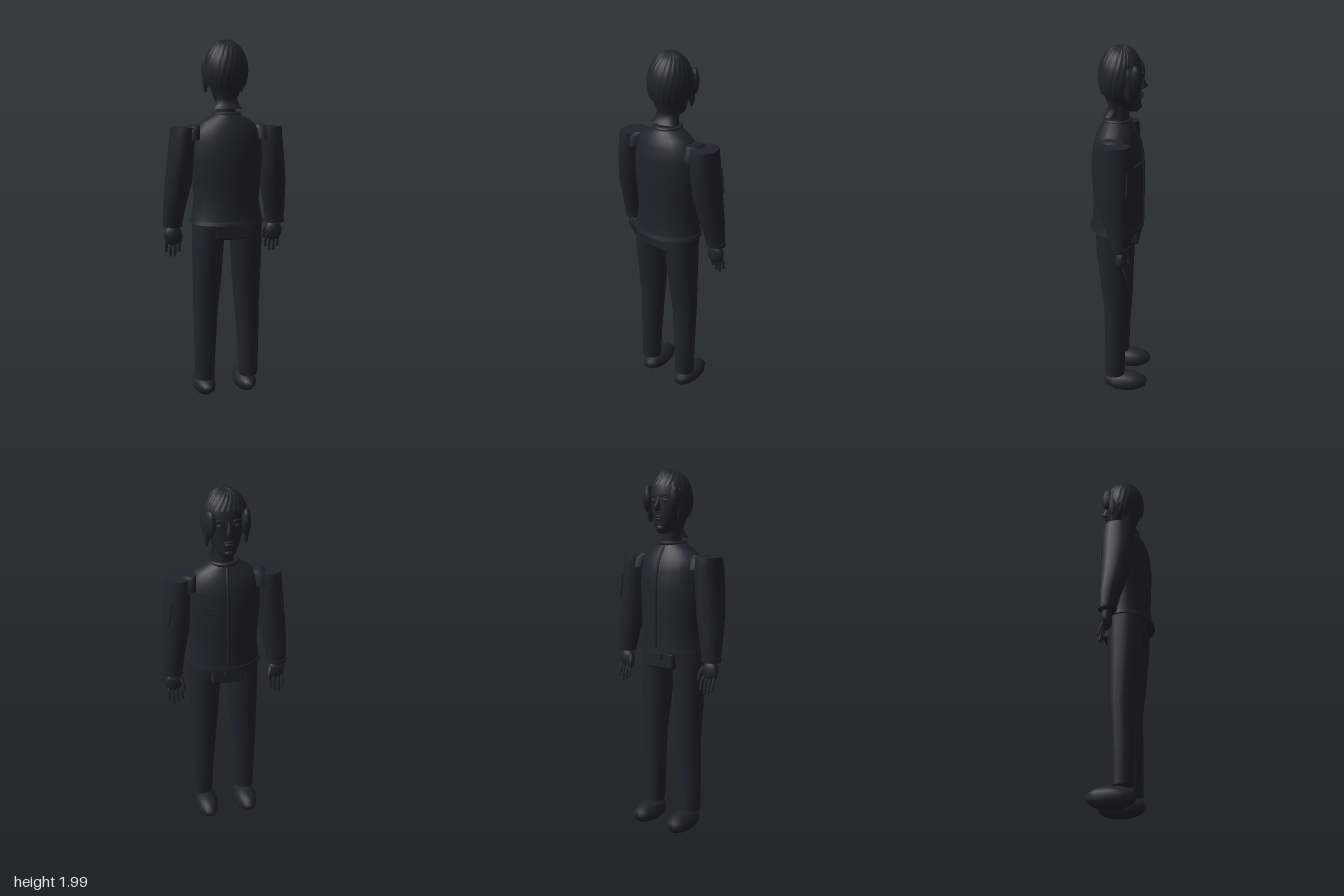
import * as THREE from 'three';
import { RoundedBoxGeometry } from 'three/addons/geometries/RoundedBoxGeometry.js';

const cloth = new THREE.MeshStandardMaterial({ color: 0x21212c, side: THREE.DoubleSide });
cloth.name = 'dark navy';

// closed body through elliptical sections [y, centreX, centreZ, radiusX, radiusZ], bottom to top
function loft(sections, sides = 16) {
  const pos = [], idx = [];
  const ring = ([y, cx, cz, rx, rz]) => {
    for (let j = 0; j < sides; j++) {
      const a = (j / sides) * Math.PI * 2;
      pos.push(cx + rx * Math.sin(a), y, cz + rz * Math.cos(a));
    }
  };
  sections.forEach(ring);
  for (let i = 0; i < sections.length - 1; i++) {
    for (let j = 0; j < sides; j++) {
      const k = (j + 1) % sides;
      const a = i * sides + j, b = i * sides + k, c = b + sides, d = a + sides;
      idx.push(a, b, c, a, c, d);
    }
  }
  // end caps with their own vertices
  for (const top of [false, true]) {
    const s = top ? sections[sections.length - 1] : sections[0];
    const start = pos.length / 3;
    ring(s);
    pos.push(s[1], s[0], s[2]);
    for (let j = 0; j < sides; j++) {
      const a = start + j, b = start + (j + 1) % sides, c = start + sides;
      if (top) idx.push(c, a, b); else idx.push(c, b, a);
    }
  }
  const g = new THREE.BufferGeometry();
  g.setAttribute('position', new THREE.Float32BufferAttribute(pos, 3));
  g.setIndex(idx);
  g.computeVertexNormals();
  return g;
}

// swirled, grooved hair cap, cut high over the face (-z)
function hairGeometry() {
  const g = new THREE.SphereGeometry(1, 120, 18);
  const p = g.attributes.position, uv = g.attributes.uv;
  for (let i = 0; i < p.count; i++) {
    const v = 1 - uv.getY(i), az = uv.getX(i) * Math.PI * 2;
    const face = Math.max(0, Math.min(1, (Math.cos(az) - 0.3) / 0.4));
    const t = v * THREE.MathUtils.lerp(2.2, 1.15, face);
    const groove = Math.abs(Math.sin(12 * (az + 0.7 * v)));
    const r = 1 - 0.05 * Math.pow(1 - groove, 3) * Math.min(1, v * 4);
    p.setXYZ(i, -0.121 * r * Math.sin(t) * Math.sin(az), 1.84 + 0.16 * Math.cos(t) * r,
      -0.118 * r * Math.sin(t) * Math.cos(az));
  }
  g.computeVertexNormals();
  return g;
}

export function createModel() {
  const root = new THREE.Group();
  root.name = 'standingFigure';

  function add(name, geometry, x = 0, y = 0, z = 0, parent = root) {
    const m = new THREE.Mesh(geometry, cloth);
    m.name = name;
    m.position.set(x, y, z);
    parent.add(m);
    return m;
  }
  function ball(name, x, y, z, rx, ry, rz, w = 12, h = 8, parent = root) {
    const g = new THREE.SphereGeometry(1, w, h);
    g.scale(rx, ry, rz);
    return add(name, g, x, y, z, parent);
  }
  function tube(name, points, r, parent = root) {
    const curve = new THREE.CatmullRomCurve3(points.map(q => new THREE.Vector3(...q)));
    return add(name, new THREE.TubeGeometry(curve, 10, r, 6), 0, 0, 0, parent);
  }

  // jacket with flared hem and sloping shoulders
  add('jacket', loft([
    [1.03, 0, 0.02, 0.207, 0.148], [1.05, 0, 0.016, 0.198, 0.14], [1.15, 0, 0.013, 0.182, 0.134],
    [1.25, 0, 0.014, 0.189, 0.136], [1.37, 0, 0.018, 0.198, 0.138], [1.47, 0, 0.018, 0.195, 0.13],
    [1.53, 0, 0.02, 0.18, 0.113], [1.57, 0, 0.022, 0.145, 0.095], [1.605, 0, 0.02, 0.085, 0.075],
    [1.62, 0, 0.018, 0.07, 0.066]], 20));
  add('hemBand', loft([[1.026, 0, 0.02, 0.209, 0.15], [1.046, 0, 0.017, 0.205, 0.146]], 20));
  tube('frontPlacket', [[0.006, 1.06, -0.126], [0.006, 1.15, -0.124], [0.006, 1.25, -0.125],
    [0.006, 1.38, -0.123], [0.006, 1.48, -0.113], [0.004, 1.54, -0.09], [0, 1.6, -0.058]], 0.007);
  const welt = add('chestPocketWelt', new THREE.BoxGeometry(0.07, 0.012, 0.008), 0.1, 1.4, -0.103);
  welt.rotation.y = -0.33;
  const collar = add('collar', new THREE.TorusGeometry(0.066, 0.012, 8, 24), 0, 1.612, 0.016);
  collar.rotation.x = Math.PI / 2;

  // hips, seat and belt buckle
  add('hips', loft([[0.98, 0, 0.015, 0.19, 0.105], [1.06, 0, 0.015, 0.185, 0.115]], 20));
  add('seat', new RoundedBoxGeometry(0.18, 0.09, 0.23, 2, 0.012), 0, 0.985, 0.008);
  add('beltBuckle', new RoundedBoxGeometry(0.05, 0.035, 0.016, 2, 0.006), 0, 1.01, -0.11);

  for (const s of [1, -1]) {
    const side = s > 0 ? 'PlusX' : 'MinusX';

    // trouser leg and shoe
    add('trouserLeg' + side, loft([
      [0.12, s * 0.128, 0.018, 0.055, 0.056], [0.3, s * 0.126, 0.018, 0.061, 0.06],
      [0.55, s * 0.119, 0.01, 0.071, 0.068], [0.7, s * 0.113, 0.018, 0.08, 0.08],
      [0.9, s * 0.108, 0.025, 0.088, 0.095], [1.04, s * 0.1, 0.027, 0.097, 0.1]]));
    ball('shoe' + side, s * 0.121, 0.066, -0.042, 0.066, 0.06, 0.131, 10, 8);

    // sleeve and cuff
    add('sleeve' + side, loft([
      [1.0, s * 0.293, -0.03, 0.051, 0.045], [1.1, s * 0.285, -0.02, 0.061, 0.06],
      [1.25, s * 0.265, 0.005, 0.074, 0.084], [1.4, s * 0.25, 0.015, 0.071, 0.095],
      [1.5, s * 0.242, 0.016, 0.068, 0.094], [1.545, s * 0.24, 0.016, 0.066, 0.088]]));
    add('shoulderCap' + side, loft([
      [1.48, s * 0.19, 0.016, 0.05, 0.085], [1.535, s * 0.19, 0.018, 0.05, 0.075],
      [1.555, s * 0.175, 0.018, 0.03, 0.05]], 12));
    add('cuff' + side, loft([[1.002, s * 0.293, -0.03, 0.055, 0.049], [1.024, s * 0.293, -0.029, 0.056, 0.051]]));
    tube('sleeveSeam' + side, [[s * 0.313, 1.3, -0.062], [s * 0.3, 1.36, -0.066], [s * 0.29, 1.43, -0.066]], 0.004);

    // hand with four fingers and a thumb
    const hand = new THREE.Group();
    hand.name = 'hand' + side;
    root.add(hand);
    ball('palm', s * 0.29, 0.95, -0.035, 0.05, 0.058, 0.03, 12, 8, hand);
    [0.252, 0.276, 0.3, 0.324].forEach((x, i) => {
      const tip = [0.855, 0.835, 0.83, 0.855][i];
      tube('finger', [[s * (x * 0.8 + 0.058), 0.94, -0.035], [s * x, 0.9, -0.055], [s * x, tip, -0.068]], 0.008, hand);
      ball('fingerTip', s * x, tip, -0.068, 0.008, 0.009, 0.008, 6, 5, hand);
    });
    tube('thumb', [[s * 0.255, 0.975, -0.045], [s * 0.243, 0.94, -0.065], [s * 0.243, 0.905, -0.072]], 0.01, hand);

    // front hair lock, sideburn, ear, eye and brow
    const lock = ball('frontLock' + side, s * 0.091, 1.845, -0.085, 0.024, 0.07, 0.036, 8, 6);
    lock.rotation.y = s * 0.5;
    ball('sideburn' + side, s * 0.1, 1.81, -0.05, 0.016, 0.09, 0.024, 8, 6);
    ball('ear' + side, s * 0.108, 1.81, -0.008, 0.01, 0.032, 0.02, 8, 6);
    ball('eye' + side, s * 0.042, 1.835, -0.096, 0.017, 0.01, 0.01, 10, 6);
    tube('brow' + side, [[s * 0.018, 1.857, -0.108], [s * 0.042, 1.863, -0.104], [s * 0.066, 1.856, -0.09]], 0.006);
  }

  // neck, nape hair and head
  add('neck', loft([[1.58, 0, 0.01, 0.056, 0.058], [1.64, 0, 0.008, 0.05, 0.052], [1.74, 0, 0.005, 0.056, 0.06]]));
  add('napeHair', loft([[1.64, 0, 0.05, 0.08, 0.04], [1.66, 0, 0.04, 0.065, 0.036],
    [1.69, 0, 0.025, 0.057, 0.038], [1.74, 0, 0.022, 0.076, 0.062], [1.79, 0, 0.02, 0.105, 0.085]]));
  add('head', loft([
    [1.665, 0, -0.065, 0.026, 0.026], [1.68, 0, -0.052, 0.043, 0.05], [1.71, 0, -0.034, 0.061, 0.071],
    [1.75, 0, -0.016, 0.079, 0.09], [1.8, 0, -0.004, 0.1, 0.103], [1.86, 0, 0, 0.108, 0.108],
    [1.91, 0, 0, 0.1, 0.102], [1.95, 0, 0, 0.08, 0.082], [1.975, 0, 0, 0.05, 0.05]], 24));
  add('hair', hairGeometry());

  // nose, lips and chin
  add('nose', loft([[1.782, 0, -0.108, 0.014, 0.012], [1.795, 0, -0.116, 0.017, 0.022],
    [1.82, 0, -0.108, 0.011, 0.018], [1.855, 0, -0.1, 0.008, 0.01]], 10));
  ball('upperLip', 0, 1.753, -0.106, 0.027, 0.007, 0.011);
  ball('lowerLip', 0, 1.739, -0.104, 0.023, 0.008, 0.011);
  ball('chin', 0, 1.693, -0.088, 0.026, 0.02, 0.022);

  return root;
}
